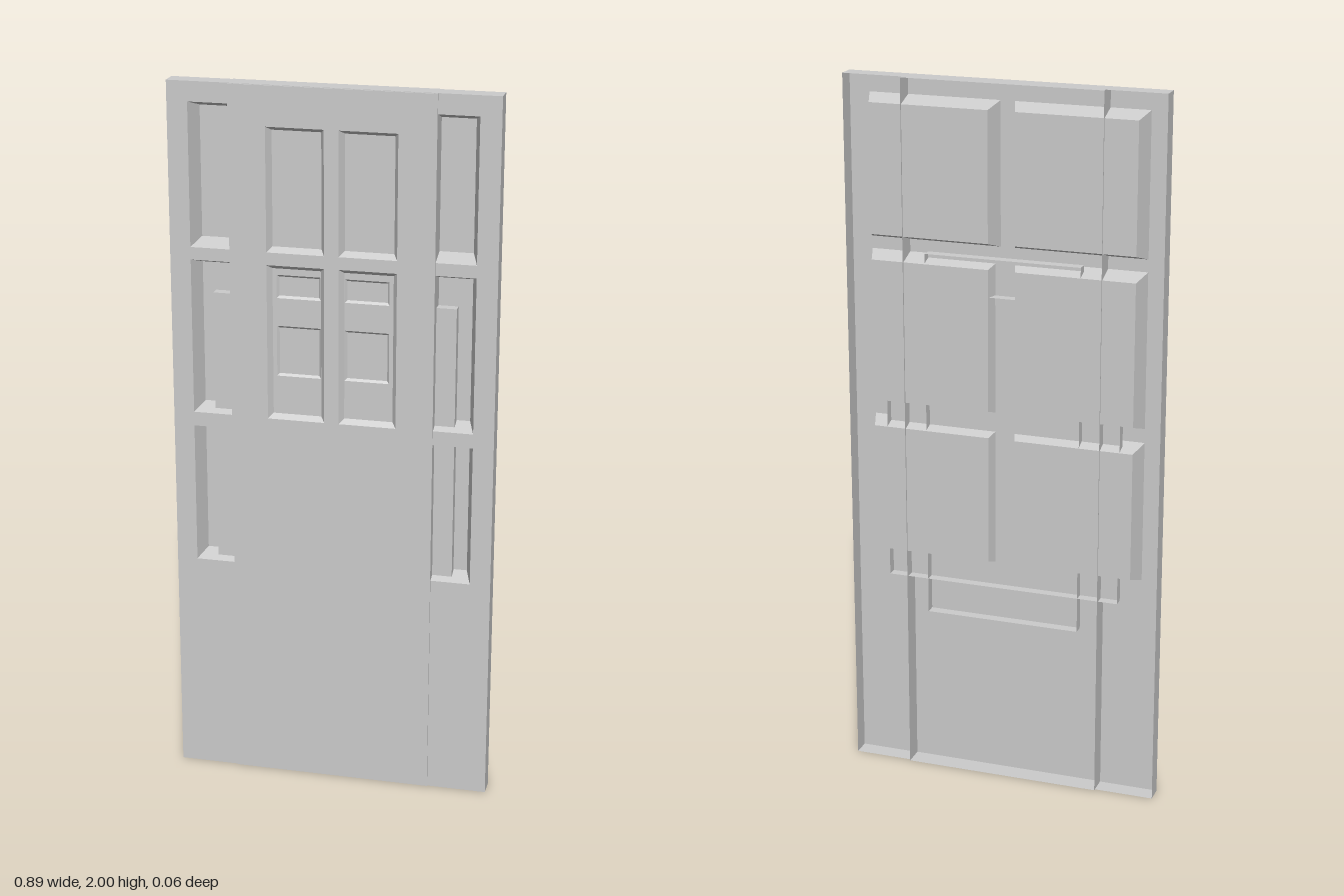
import * as THREE from 'three';

const material = new THREE.MeshStandardMaterial({ color: 0xcccccc, flatShading: true, side: THREE.DoubleSide });

// Rectangles are { x0, x1, y0, y1 }
const rect = (x0, x1, y0, y1) => ({ x0, x1, y0, y1 });
const corners = (r, inset = 0) => [
  [r.x0 + inset, r.y0 + inset], [r.x1 - inset, r.y0 + inset],
  [r.x1 - inset, r.y1 - inset], [r.x0 + inset, r.y1 - inset],
];
const mirrored = (r) => [r, rect(-r.x1, -r.x0, r.y0, r.y1)];
const insetRect = (r, d) => rect(r.x0 + d, r.x1 - d, r.y0 + d, r.y1 - d);

function add(parent, name, geometry) {
  const mesh = new THREE.Mesh(geometry, material);
  mesh.name = name;
  parent.add(mesh);
}

// Flat sheet with rectangular openings, facing +z
function sheet(r, z, holes = []) {
  const toPoints = (q) => corners(q).map(([x, y]) => new THREE.Vector2(x, y));
  const shape = new THREE.Shape(toPoints(r));
  for (const h of holes) shape.holes.push(new THREE.Path(toPoints(h).reverse()));
  return new THREE.ShapeGeometry(shape).translate(0, 0, z);
}

// Four walls joining a rectangle at zFront to its inset copy at zBack
function walls(r, zFront, zBack, inset = 0) {
  const a = corners(r), b = corners(r, inset), positions = [];
  for (let i = 0; i < 4; i++) {
    const j = (i + 1) % 4;
    const p = [...a[i], zFront], q = [...a[j], zFront], s = [...b[j], zBack], t = [...b[i], zBack];
    positions.push(...p, ...t, ...s, ...p, ...s, ...q);
  }
  // Front openings show the inside of the walls; outer shells show the outside
  if (inset === 0) {
    for (let i = 0; i < positions.length; i += 9) {
      const second = positions.slice(i + 3, i + 6);
      positions.splice(i + 3, 6, ...positions.slice(i + 6, i + 9), ...second);
    }
  }
  const g = new THREE.BufferGeometry();
  g.setAttribute('position', new THREE.Float32BufferAttribute(positions, 3));
  g.computeVertexNormals();
  return g;
}

// Open-backed shell: front sheet plus rim
function shell(parent, name, r, zFront, zBack, holes) {
  const group = new THREE.Group();
  group.name = name;
  add(group, name + 'Face', sheet(r, zFront, holes));
  add(group, name + 'Rim', walls(r, zFront, zBack));
  parent.add(group);
}

// Recessed panel with sloping sides and a floor
function pocket(parent, name, r, zFront, zBack, inset, floorHoles) {
  const group = new THREE.Group();
  group.name = name;
  add(group, name + 'Sides', walls(r, zFront, zBack, inset));
  add(group, name + 'Floor', sheet(insetRect(r, inset), zBack, floorHoles));
  parent.add(group);
}

export function createModel() {
  const door = new THREE.Group();
  door.name = 'door';

  // Full-width door skin with six deep panels
  const deep = [[1.55, 1.945], [1.08, 1.515], [0.64, 1.04]]
    .flatMap(([y0, y1]) => mirrored(rect(0.02, 0.39, y0, y1)));
  shell(door, 'doorSkin', rect(-0.447, 0.447, 0, 2), 0.025, -0.025, deep);
  for (const r of deep) pocket(door, 'deepPanel', r, 0.025, -0.028, 0.018);

  // Raised centre section with four shallow panels
  const upper = mirrored(rect(0.02, 0.178, 1.55, 1.89));
  const lower = mirrored(rect(0.02, 0.178, 1.08, 1.515));
  shell(door, 'centreSection', rect(-0.28, 0.28, 0.001, 1.999), 0.03, -0.033, [...upper, ...lower]);
  for (const r of upper) pocket(door, 'upperPanel', r, 0.03, 0.008, 0.012);

  // Lower panels carry two small sunken bands
  const bands = [[1.42, 1.485], [1.2, 1.342]].map(([y0, y1]) => mirrored(rect(0.033, 0.155, y0, y1)));
  lower.forEach((r, side) => {
    const own = bands.map((pair) => pair[side]);
    pocket(door, 'lowerPanel', r, 0.03, 0.013, 0.012, own);
    for (const b of own) pocket(door, 'sunkenBand', b, 0.013, 0.006, 0.006);
  });

  // Nested open-backed frames inside the door
  shell(door, 'wideInnerFrame', rect(-0.335, 0.335, 0.58, 1.42), 0.002, -0.025);
  shell(door, 'narrowInnerFrame', rect(-0.22, 0.22, 0.48, 1.525), 0.004, -0.025);

  return door;
}
